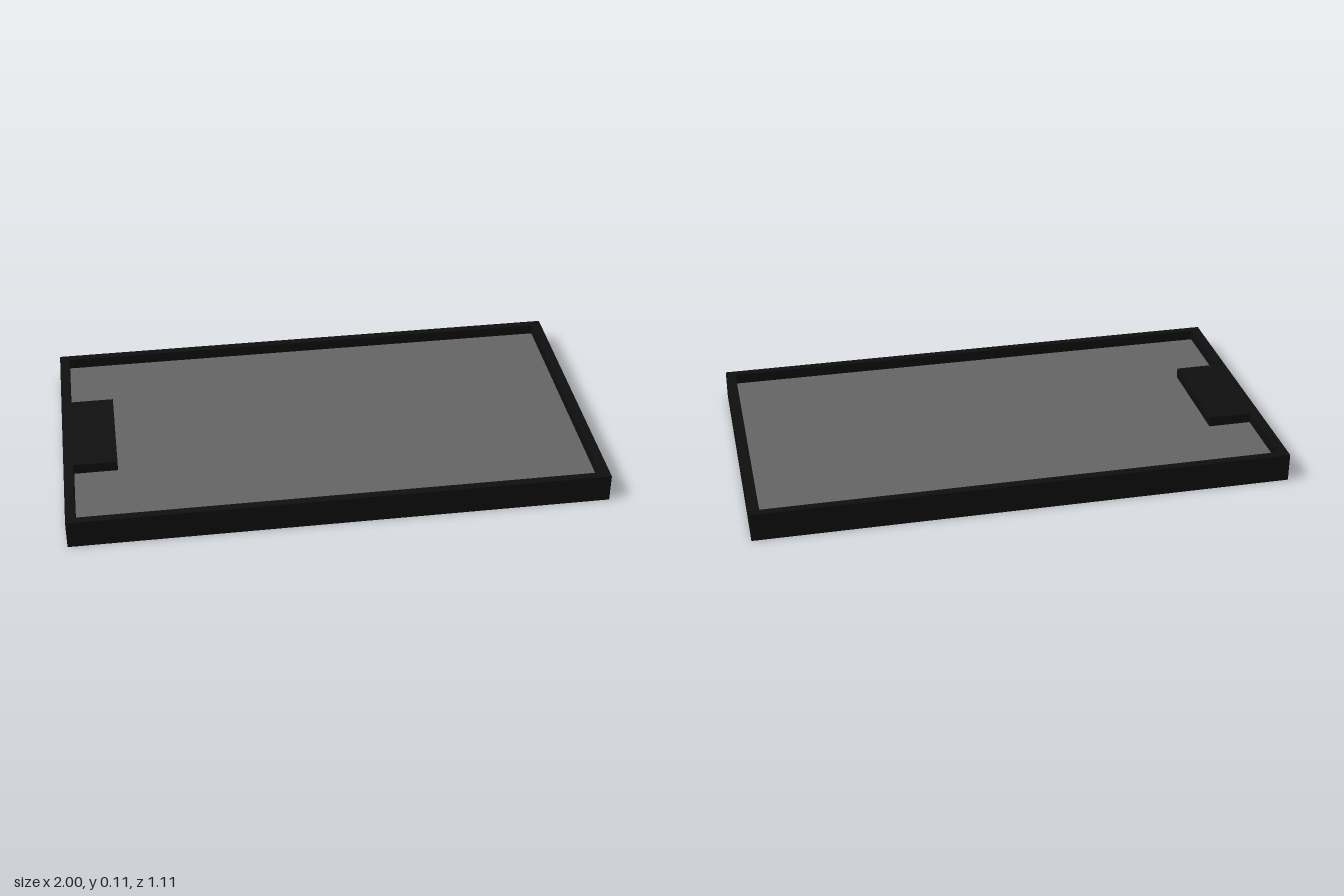
import * as THREE from 'three';

const W = 2, D = 1.106, H = 0.107; // overall size
const RIM_X = 0.037, RIM_Z = 0.03; // rim widths
const BASE = 0.05, SCREEN_TOP = 0.067;

export function createModel() {
  const group = new THREE.Group();
  const black = new THREE.MeshStandardMaterial({ color: 0x0f0f0f });
  const grey = new THREE.MeshStandardMaterial({ color: 0x666666 });

  const add = (name, geometry, material, x = 0, y = 0, z = 0) => {
    const mesh = new THREE.Mesh(geometry, material);
    mesh.name = name;
    mesh.position.set(x, y, z);
    group.add(mesh);
  };
  const rectangle = (path, w, d) => path
    .moveTo(-w / 2, -d / 2).lineTo(w / 2, -d / 2)
    .lineTo(w / 2, d / 2).lineTo(-w / 2, d / 2).closePath();

  // Raised rim with a rectangular opening
  const innerW = W - 2 * RIM_X, innerD = D - 2 * RIM_Z;
  const outline = rectangle(new THREE.Shape(), W, D);
  outline.holes.push(rectangle(new THREE.Path(), innerW, innerD));
  const rim = new THREE.ExtrudeGeometry(outline, { depth: H, bevelEnabled: false });
  rim.rotateX(-Math.PI / 2);
  add('rim', rim, black);

  // Back plate closing the underside, and the recessed panel on it
  add('backPlate', new THREE.BoxGeometry(innerW, BASE, innerD), black, 0, BASE / 2, 0);
  const t = SCREEN_TOP - BASE;
  add('recessedPanel', new THREE.BoxGeometry(innerW, t, innerD), grey, 0, BASE + t / 2, 0);

  // Block standing on the panel against the right-hand rim
  const blockW = 0.2 - RIM_X, blockH = 0.106 - SCREEN_TOP;
  add('sideBlock', new THREE.BoxGeometry(blockW, blockH, 0.42), black,
    -1 + RIM_X + blockW / 2, SCREEN_TOP + blockH / 2, -0.006);

  return group;
}
